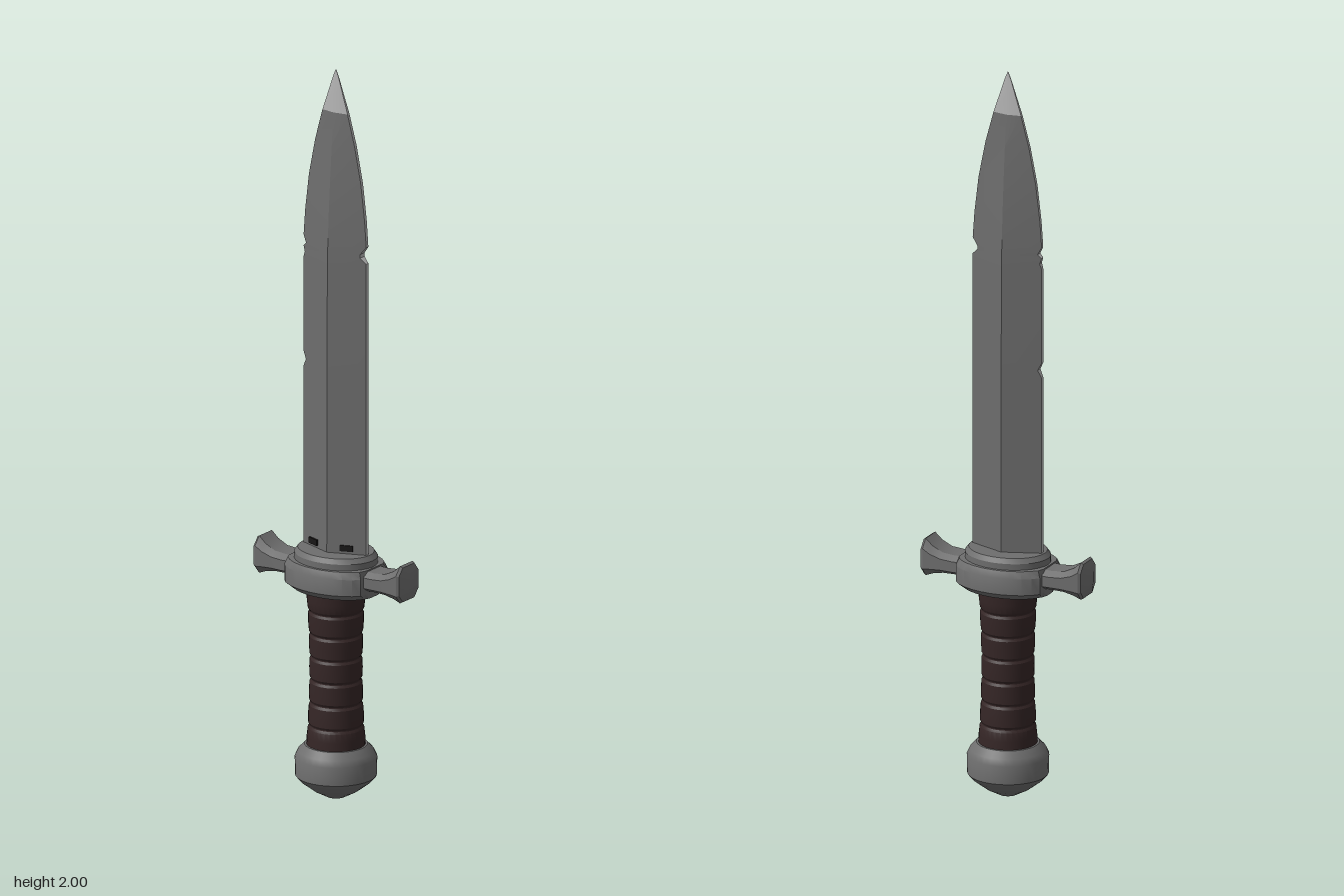
import * as THREE from 'three';
import { toCreasedNormals } from 'three/addons/utils/BufferGeometryUtils.js';

const mat = (name, color) => {
  const m = new THREE.MeshStandardMaterial({ color });
  m.name = name;
  return m;
};

// Skins a list of rings; pick(row, side) gives the material index of a face
function loft(rings, pick = () => 0) {
  const faces = [[], []];
  const n = rings[0].length;
  for (let r = 0; r < rings.length - 1; r++) {
    for (let i = 0; i < n; i++) {
      const j = (i + 1) % n;
      const a0 = rings[r][i], b0 = rings[r][j];
      const a1 = rings[r + 1][i], b1 = rings[r + 1][j];
      faces[pick(r, i)].push(...b0, ...a0, ...a1, ...b0, ...a1, ...b1);
    }
  }
  const last = rings[rings.length - 1];
  for (let i = 1; i < n - 1; i++) {
    faces[pick(rings.length - 2, i)].push(...last[0], ...last[i + 1], ...last[i]);
  }
  const g = new THREE.BufferGeometry();
  g.setAttribute('position', new THREE.Float32BufferAttribute(faces.flat(), 3));
  g.addGroup(0, faces[0].length / 3, 0);
  g.addGroup(faces[0].length / 3, faces[1].length / 3, 1);
  return toCreasedNormals(g, 0.4);
}

// Turned part from [radius, y] points, optionally flattened in z and cut off in x
function turned(points, depth = 1, maxX = Infinity) {
  const g = new THREE.LatheGeometry(points.map(p => new THREE.Vector2(...p)), 32);
  const pos = g.attributes.position;
  for (let i = 0; i < pos.count; i++) {
    pos.setX(i, THREE.MathUtils.clamp(pos.getX(i), -maxX, maxX));
    pos.setZ(i, pos.getZ(i) * depth);
  }
  return toCreasedNormals(g, 0.5);
}

export function createModel() {
  const group = new THREE.Group();
  const steel = mat('steel', 0x6e6e6e);
  const bright = mat('worn bright steel', 0xb4b4b4);
  const leather = mat('dark leather', 0x352626);
  const black = mat('black pitting', 0x181616);
  const add = (name, geometry, material) => {
    const mesh = new THREE.Mesh(geometry, material);
    mesh.name = name;
    group.add(mesh);
    return mesh;
  };

  // Blade stations: y, left reach, right reach, full half width, ridge half depth
  const stations = [
    [0.66, 0.1, 0.1, 0.1, 0.042],
    [1.17, 0.1, 0.1, 0.1, 0.041],
    [1.19, 0.1, 0.09, 0.1, 0.041],
    [1.21, 0.1, 0.1, 0.1, 0.041],
    [1.47, 0.1, 0.1, 0.1, 0.039],
    [1.485, 0.1, 0.095, 0.1, 0.039],
    [1.5, 0.084, 0.1, 0.1, 0.038],
    [1.51, 0.084, 0.09, 0.1, 0.038],
    [1.53, 0.1, 0.1, 0.1, 0.037],
    [1.6, 0.095, 0.095, 0.095, 0.034],
    [1.7, 0.083, 0.083, 0.083, 0.027],
    [1.8, 0.063, 0.063, 0.063, 0.019],
    [1.885, 0.04, 0.04, 0.04, 0.011],
    [1.94, 0.022, 0.022, 0.022, 0.006],
    [1.98, 0.009, 0.009, 0.009, 0.003],
    [2, 0.001, 0.001, 0.001, 0.001],
  ];
  const rings = stations.map(([y, l, r, w, d]) => {
    const edge = Math.min(0.005, d * 0.4);
    const el = edge + (1 - l / w) * (d - edge);
    const er = edge + (1 - r / w) * (d - edge);
    // the +x side is the model's left
    return [[l, y, el], [0, y, d], [-r, y, er], [-r, y, -er], [0, y, -d], [l, y, -el]];
  });
  add('blade', loft(rings, (row, side) => (row >= 12 || side === 2 || side === 5 ? 1 : 0)),
    [steel, bright]);

  // Small dark pits at the root of the blade
  for (const x of [-0.055, 0.05]) {
    const pit = add('bladePit', new THREE.BoxGeometry(0.035, 0.016, 0.008), black);
    pit.position.set(x, 0.7, 0.023);
    pit.rotation.y = Math.sign(x) * 0.35;
  }

  // Oval guard body and the raised collar on it
  add('guardBody', turned([
    [0, 0.575], [0.125, 0.575], [0.15, 0.592], [0.15, 0.637], [0.138, 0.655], [0, 0.658],
  ], 0.11 / 0.15, 0.122), steel);
  add('guardCollar', turned([
    [0.117, 0.65], [0.117, 0.672], [0.107, 0.685], [0, 0.685],
  ], 0.8), steel);

  // Flared arms: x, centre y, half height, half depth
  const armRings = [
    [0.09, 0.625, 0.028, 0.048],
    [0.14, 0.624, 0.026, 0.048],
    [0.175, 0.625, 0.028, 0.047],
    [0.205, 0.629, 0.038, 0.048],
    [0.225, 0.634, 0.051, 0.048],
    [0.232, 0.634, 0.047, 0.044],
    [0.24, 0.634, 0.026, 0.016],
  ].map(([x, cy, h, d]) => [
    [1, 0.55], [0.6, 1], [-0.6, 1], [-1, 0.55], [-1, -0.55], [-0.6, -1], [0.6, -1], [1, -0.55],
  ].map(([u, v]) => [x, cy + v * h, -u * d]).reverse());
  const armGeometry = loft(armRings);
  armGeometry.clearGroups();
  for (const turn of [0, Math.PI]) add('guardArm', armGeometry, steel).rotation.y = turn;

  // Leather grip wound in bands
  const grip = [];
  const bands = 7, bottom = 0.14, top = 0.58;
  for (let i = 0; i < bands; i++) {
    for (const [t, swell] of [[0.02, -0.003], [0.12, 0.001], [0.5, 0.002], [0.88, 0.001], [0.98, -0.003]]) {
      const s = (i + t) / bands;
      grip.push([0.068 + 0.009 * (2 * s - 1) ** 2 + swell, bottom + (top - bottom) * s]);
    }
  }
  add('grip', turned(grip), leather);

  // Pommel
  add('pommel', turned([
    [0, 0], [0.025, 0.005], [0.06, 0.024], [0.094, 0.05], [0.107, 0.065],
    [0.108, 0.115], [0.1, 0.132], [0.083, 0.15], [0, 0.15],
  ]), steel);

  return group;
}
